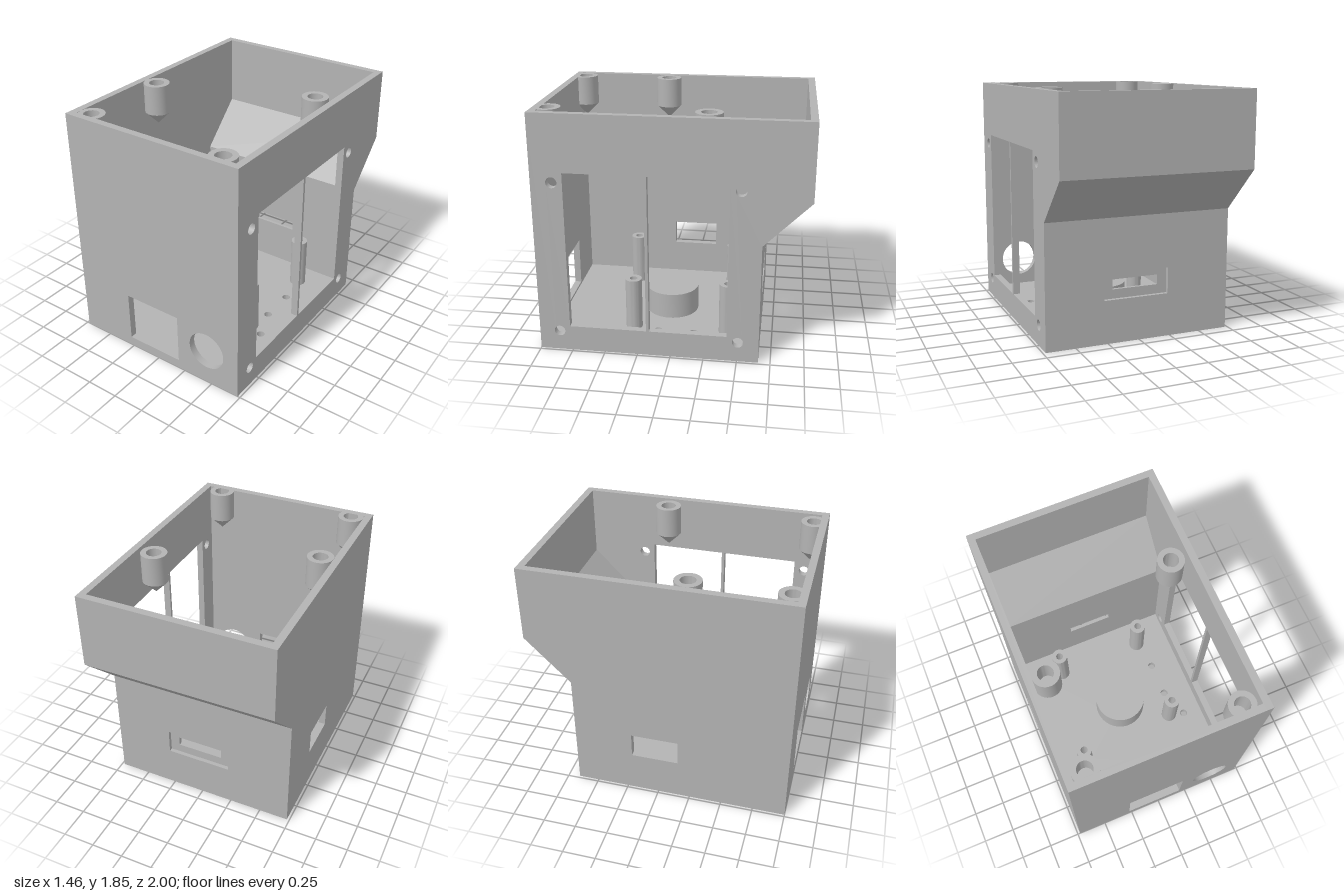
import * as THREE from 'three';
import { toCreasedNormals } from 'three/addons/utils/BufferGeometryUtils.js';

const W = 0.73, H = 1.85, T = 0.054;   // half width, height, wall thickness
const IN = W - T;                      // inner half width
const BACK = -0.66, LIP = -1;          // lower and upper back faces
const FRONT = 1;

const rect = (a, b, c, d) => [[a, c], [b, c], [b, d], [a, d]];

export function createModel() {
  const group = new THREE.Group();
  const grey = new THREE.MeshStandardMaterial({ color: 0xb3b3b3 });
  grey.name = 'plasticGrey';

  const add = (name, geometry) => {
    const mesh = new THREE.Mesh(toCreasedNormals(geometry, 0.5), grey);
    mesh.name = name;
    group.add(mesh);
    return mesh;
  };

  // Flat plate with polygon holes and round holes [x, y, r]
  const plate = (outline, holes = [], circles = [], depth = T) => {
    const toVectors = (pts) => pts.map((p) => new THREE.Vector2(...p));
    const shape = new THREE.Shape(toVectors(outline));
    for (const h of holes) shape.holes.push(new THREE.Path(toVectors(h)));
    for (const [x, y, r] of circles) {
      shape.holes.push(new THREE.Path().absarc(x, y, r, 0, Math.PI * 2, true));
    }
    return new THREE.ExtrudeGeometry(shape, { depth, bevelEnabled: false, curveSegments: 40 });
  };

  // Profile drawn in (z, y), thickened from x towards -x
  const sideways = (geometry, x) => geometry.rotateY(-Math.PI / 2).translate(x, 0, 0);

  // Turned part from an (r, y) profile
  const turned = (name, profile, x, z) => {
    const points = profile.map((p) => new THREE.Vector2(...p));
    add(name, new THREE.LatheGeometry(points, 48)).position.set(x, 0, z);
  };

  // Side walls: large divided window with screw holes, small port opposite
  const sideOutline = [[FRONT, 0], [FRONT, H], [LIP, H], [LIP, 1.28], [BACK, 0.94], [BACK, 0]];
  const screws = [];
  for (const z of [0.845, -0.505]) for (const y of [0.157, 1.345]) screws.push([z, y, 0.041]);
  add('windowWall', sideways(plate(sideOutline,
    [rect(0.182, 0.765, 0.2, 1.42), rect(-0.423, 0.16, 0.2, 1.42)], screws), W));
  add('portWall', sideways(plate(sideOutline, [rect(-0.208, 0.156, 0.328, 0.525)]), -IN));

  // Front wall with a square and a round opening
  add('frontWall', plate(rect(-IN, IN, 0, H), [rect(-0.273, 0.195, 0.073, 0.47)],
    [[0.455, 0.288, 0.15]]).translate(0, 0, FRONT - T));

  // Lower back wall: wide recess outside, narrow slot inside
  const backOutline = rect(-IN, IN, 0, 0.94);
  const recess = 0.03;
  add('backWallOuter', plate(backOutline, [rect(-0.23, 0.28, 0.33, 0.53)], [], recess)
    .translate(0, 0, BACK));
  add('backWallInner', plate(backOutline, [rect(-0.155, 0.205, 0.4, 0.475)], [], T - recess)
    .translate(0, 0, BACK + recess));

  // Overhanging upper back
  add('backOverhang', sideways(plate([
    [BACK, 0.94], [LIP, 1.28], [LIP, H], [LIP + T, H], [LIP + T, 1.303],
    [BACK + T, 0.963], [BACK + T, 0.94],
  ], [], [], IN * 2), IN));

  // Floor with screw, wire and centre holes
  const standoffs = [[-0.34, -0.4], [0.395, -0.4], [0.395, 0.335], [-0.453, 0.448]];
  const wireHoles = [[0.437, -0.145], [0.437, 0.137], [0.522, 0.377]];
  const centre = [0.027, 0.08];
  add('floor', plate(rect(-IN, IN, BACK + T, FRONT - T), [], [
    ...standoffs.map(([x, z]) => [x, z, 0.05]),
    ...wireHoles.map(([x, z]) => [x, z, 0.031]),
    [...centre, 0.115],
  ]).rotateX(Math.PI / 2).translate(0, T, 0));

  // Board standoffs
  for (const [x, z] of standoffs) {
    turned('standoff', [[0.029, T], [0.064, T], [0.064, 0.47], [0.029, 0.47], [0.029, T]], x, z);
  }

  // Round mount in the floor, hollow from below
  turned('centreMount', [[0, 0.2], [0.115, 0.2], [0.115, T], [0.21, T], [0.21, 0.26], [0, 0.26]],
    ...centre);

  // Lid screw bosses with conical undersides
  for (const [x, z] of [[-0.577, 0.9], [0.547, 0.9], [0.547, -0.257], [-0.577, 0.193]]) {
    turned('lidBoss', [[0, 1.52], [0.099, 1.62], [0.099, H], [0.057, H], [0.057, 1.64], [0, 1.64]],
      x, z);
  }

  return group;
}
